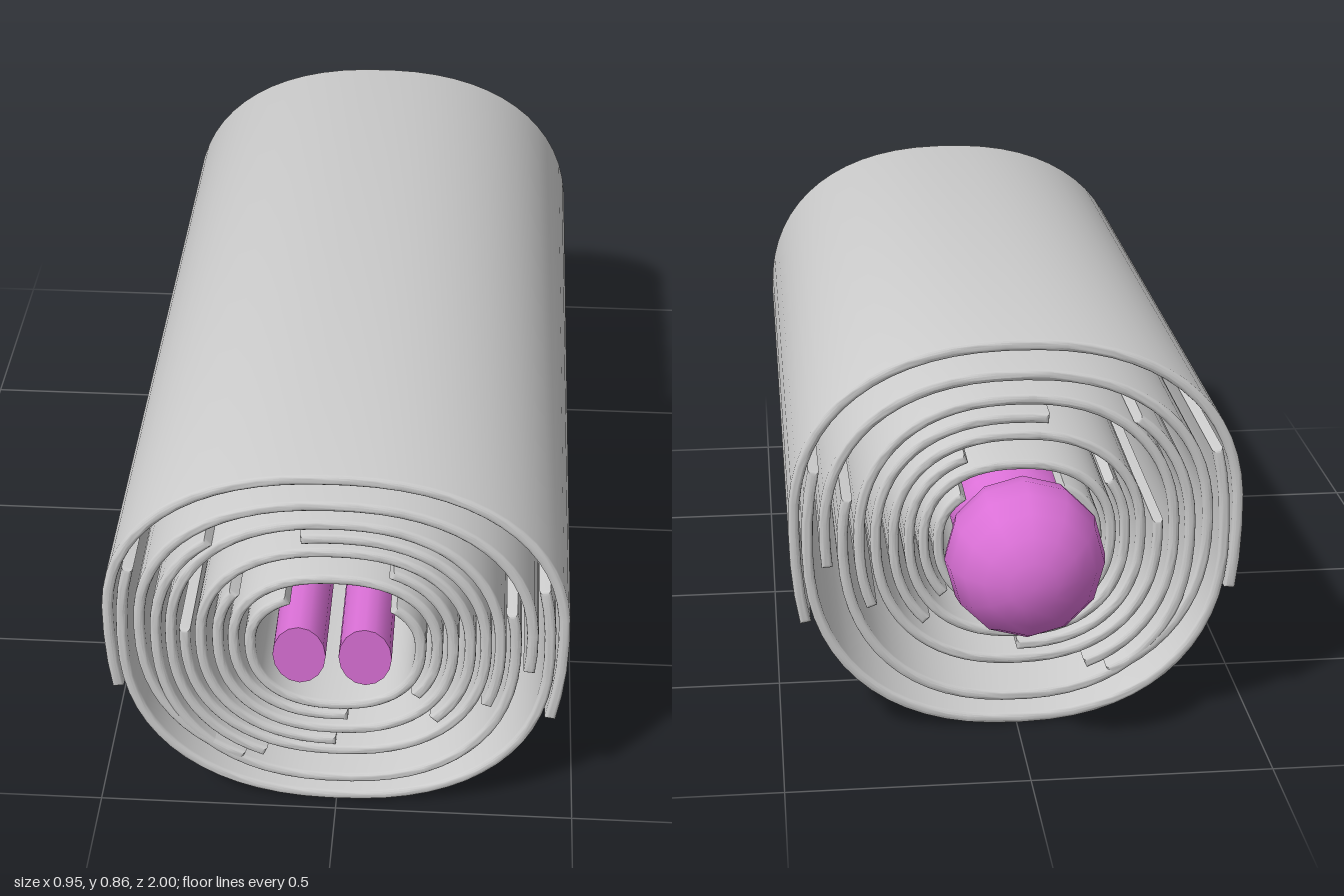
import * as THREE from 'three';
import { toCreasedNormals } from 'three/addons/utils/BufferGeometryUtils.js';

const FRONT = 0.975, BACK = -0.745, THICK = 0.023;
const grey = new THREE.MeshStandardMaterial({ color: 0xcccccc });
const pink = new THREE.MeshStandardMaterial({ color: 0xda70d6 });

// Rolled layers, outermost first:
// [half width, height above centre, depth below centre, centre y, start deg, end deg, scale at back]
const LAYERS = [
  [0.463, 0.377, 0.60, 0.47, -18, 194, 1],
  [0.436, 0.50, 0.408, 0.42, 161, 377, 1],
  [0.400, 0.333, 0.37, 0.45, -9, 244, 1],
  [0.367, 0.32, 0.368, 0.43, 130, 375, 0.99],
  [0.336, 0.307, 0.325, 0.43, -24, 247, 0.98],
  [0.307, 0.272, 0.29, 0.43, 176, 460, 0.96],
  [0.275, 0.238, 0.262, 0.43, -45, 270, 0.94],
  [0.240, 0.205, 0.23, 0.43, 145, 425, 0.94],
  [0.208, 0.17, 0.192, 0.43, -40, 275, 0.94],
  [0.174, 0.132, 0.158, 0.425, 120, 410, 0.95],
];

// Squarish oval arc given a thickness, run along z with rounded rims
function layerGeometry([rx, up, down, cy, a0, a1, backScale]) {
  const steps = Math.ceil((a1 - a0) / 6);
  const mid = [];
  for (let i = 0; i <= steps; i++) {
    const t = THREE.MathUtils.degToRad(a0 + (a1 - a0) * i / steps);
    const c = Math.cos(t), s = Math.sin(t);
    mid.push(new THREE.Vector2(
      rx * Math.sign(c) * Math.abs(c) ** 0.87,
      (s > 0 ? up : down) * Math.sign(s) * Math.abs(s) ** 0.87));
  }
  const outer = [], inner = [];
  mid.forEach((p, i) => {
    const d = mid[Math.min(i + 1, steps)].clone().sub(mid[Math.max(i - 1, 0)]).normalize();
    const n = new THREE.Vector2(d.y, -d.x).multiplyScalar(THICK / 2);
    outer.push(p.clone().add(n));
    inner.push(p.clone().sub(n));
  });
  const bevel = 0.008;
  const geo = new THREE.ExtrudeGeometry(new THREE.Shape([...outer, ...inner.reverse()]), {
    depth: FRONT - BACK - 2 * bevel, bevelEnabled: true, bevelThickness: bevel,
    bevelSize: bevel, bevelOffset: -bevel, bevelSegments: 3, steps: 1,
  });
  geo.translate(0, 0, BACK + bevel);

  // Inner layers narrow slightly towards the back
  const pos = geo.attributes.position;
  for (let i = 0; i < pos.count; i++) {
    const k = THREE.MathUtils.lerp(backScale, 1, (pos.getZ(i) - BACK) / (FRONT - BACK));
    pos.setXY(i, pos.getX(i) * k, pos.getY(i) * k + cy);
  }
  return toCreasedNormals(geo, 0.7);
}

export function createModel() {
  const model = new THREE.Group();
  model.name = 'wrappedFigure';
  const add = (parent, name, geo, mat) => {
    const mesh = new THREE.Mesh(geo, mat);
    mesh.name = name;
    parent.add(mesh);
    return mesh;
  };

  // Blanket rolled in overlapping layers
  const blanket = new THREE.Group();
  blanket.name = 'blanket';
  model.add(blanket);
  LAYERS.forEach((l, i) => add(blanket, `blanketLayer${i + 1}`, layerGeometry(l), grey));

  // Figure inside: head at the back, feet at the front
  const figure = new THREE.Group();
  figure.name = 'figure';
  model.add(figure);
  add(figure, 'head', new THREE.SphereGeometry(0.165, 12, 10).rotateX(Math.PI / 2), pink)
    .position.set(-0.004, 0.425, -0.835);

  const torso = add(figure, 'torso', new THREE.CapsuleGeometry(0.12, 0.75, 5, 14).rotateX(Math.PI / 2), pink);
  torso.scale.set(1.1, 0.95, 1);
  torso.position.set(-0.004, 0.42, -0.2);

  for (const side of [-1, 1]) {
    const leg = add(figure, side < 0 ? 'rightLeg' : 'leftLeg',
      new THREE.CylinderGeometry(1, 1, 0.9, 16).rotateX(Math.PI / 2), pink);
    leg.scale.set(0.054, 0.073, 1);
    leg.position.set(-0.004 + side * 0.067, 0.424, 0.55);
  }
  return model;
}
